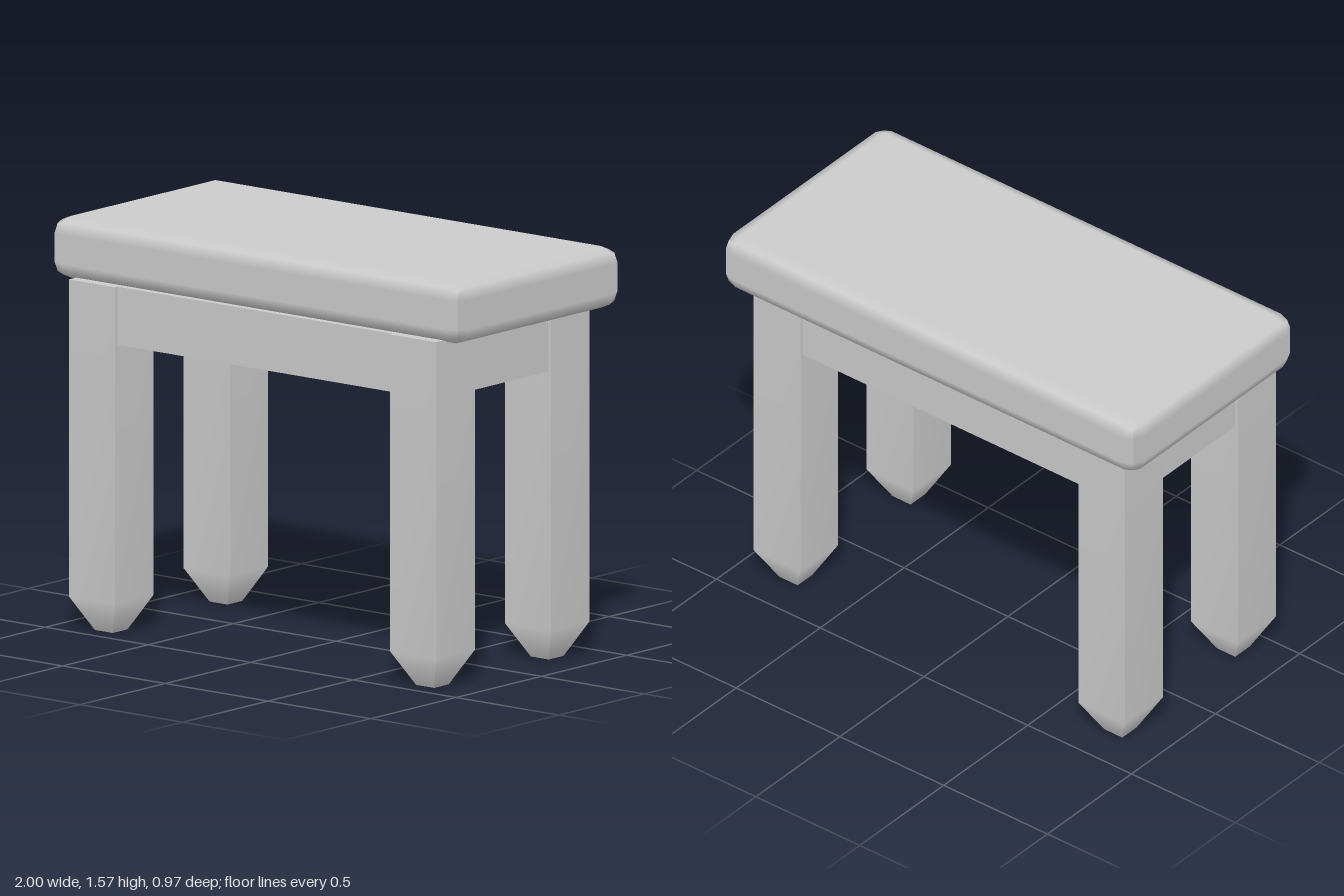
import * as THREE from 'three';

const LEG = { width: 0.225, height: 1.343, taper: 0.13, tip: 0.087, x: 0.782, z: 0.336 };
const FRAME_Z = 0.04; // the leg frame sits slightly forward of the seat

// Box with bevelled, softly shaded edges and a crisp seam at the vertical corners
function cushionGeometry(w, h, d, r) {
  const geo = new THREE.BoxGeometry(w, h, d, 3, 3, 3);
  const half = new THREE.Vector3(w, h, d).multiplyScalar(0.5);
  const pos = geo.attributes.position, nor = geo.attributes.normal;
  for (let i = 0; i < pos.count; i++) {
    const p = new THREE.Vector3().fromBufferAttribute(pos, i);
    const face = new THREE.Vector3().fromBufferAttribute(nor, i);
    const inner = new THREE.Vector3(), dir = new THREE.Vector3();
    for (const a of ['x', 'y', 'z']) {
      const s = Math.sign(p[a]);
      inner[a] = s * (half[a] - r);
      dir[a] = Math.abs(p[a]) > half[a] * 0.9 ? s : 0;
    }
    const n = dir.clone();
    if (Math.abs(face.x) > 0.5) n.z = 0;
    if (Math.abs(face.z) > 0.5) n.x = 0;
    p.copy(inner).addScaledVector(dir.normalize(), r);
    n.normalize();
    pos.setXYZ(i, p.x, p.y, p.z);
    nor.setXYZ(i, n.x, n.y, n.z);
  }
  return geo;
}

// Square post whose foot narrows to a small square tip
function legGeometry() {
  const { width, height, taper, tip } = LEG;
  const geo = new THREE.BoxGeometry(width, height, width, 1, 2, 1);
  const pos = geo.attributes.position;
  for (let i = 0; i < pos.count; i++) {
    const y = pos.getY(i);
    if (y > 0.1) pos.setY(i, height);
    else if (y > -0.1) pos.setY(i, taper);
    else pos.setXYZ(i, Math.sign(pos.getX(i)) * tip / 2, 0, Math.sign(pos.getZ(i)) * tip / 2);
  }
  geo.computeVertexNormals();
  return geo;
}

export function createModel() {
  const model = new THREE.Group();
  model.name = 'bench';
  const material = new THREE.MeshStandardMaterial({ color: 0xcccccc });
  const add = (name, geo, x, y, z) => {
    const mesh = new THREE.Mesh(geo, material);
    mesh.name = name;
    mesh.position.set(x, y, z);
    model.add(mesh);
  };

  // Seat
  const seatBottom = 1.334, seatTop = 1.57;
  add('seat', cushionGeometry(2, seatTop - seatBottom, 0.97, 0.062), 0, (seatTop + seatBottom) / 2, 0);

  // Legs
  const leg = legGeometry();
  for (const sx of [-1, 1]) {
    for (const sz of [-1, 1]) {
      add(`${sz > 0 ? 'front' : 'back'}${sx > 0 ? 'Left' : 'Right'}Leg`, leg, sx * LEG.x, 0, FRAME_Z + sz * LEG.z);
    }
  }

  // Rails between the legs, set in a little from the leg faces
  const railH = 0.223, railT = 0.195, railY = LEG.height - railH / 2;
  const longRail = new THREE.BoxGeometry(2 * LEG.x - LEG.width, railH, railT);
  const sideRail = new THREE.BoxGeometry(railT, railH, 2 * LEG.z - LEG.width);
  for (const s of [-1, 1]) {
    add(s > 0 ? 'frontRail' : 'backRail', longRail, 0, railY, FRAME_Z + s * LEG.z);
    add(s > 0 ? 'leftRail' : 'rightRail', sideRail, s * LEG.x, railY, FRAME_Z);
  }
  return model;
}
